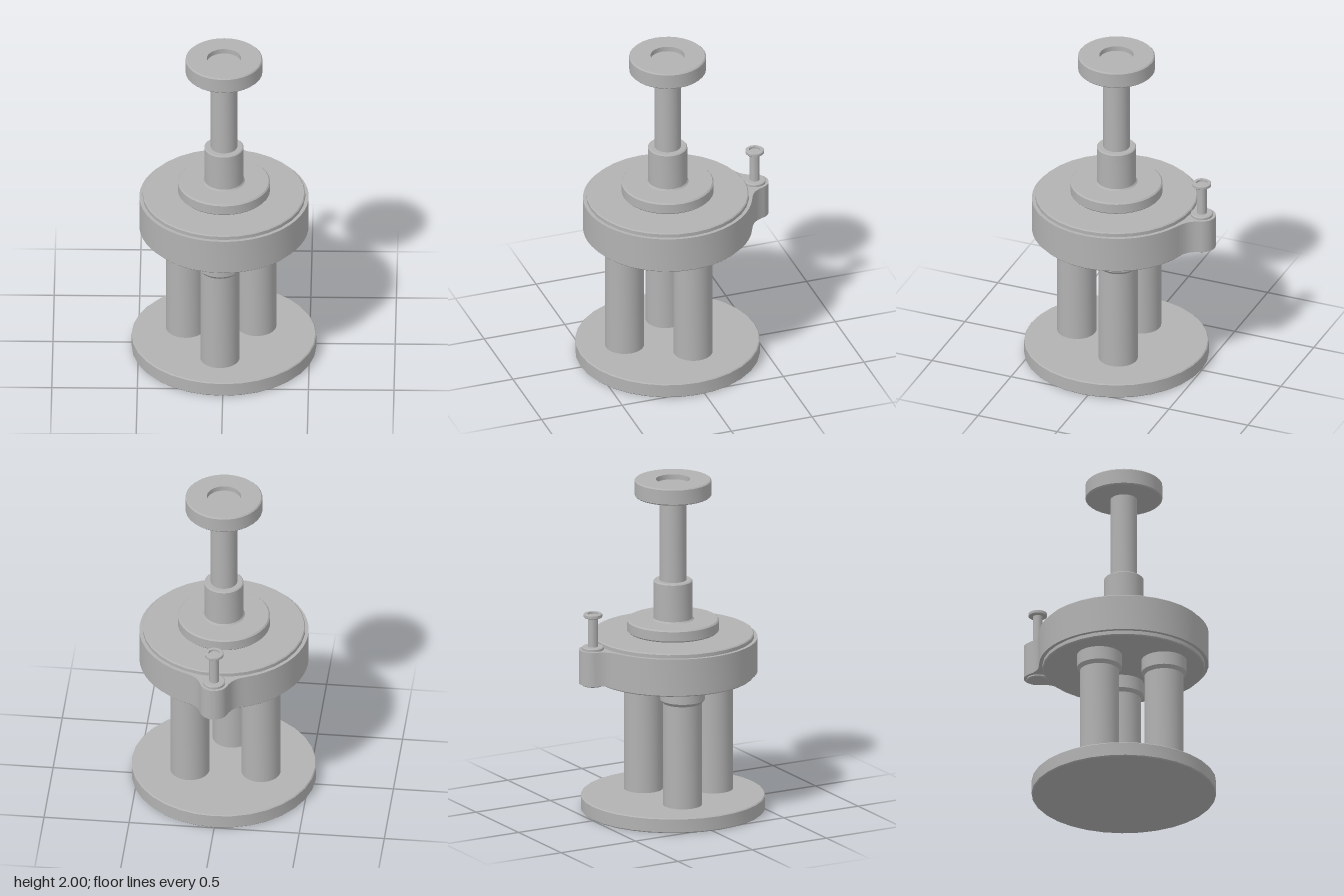
import * as THREE from 'three';
import { toCreasedNormals } from 'three/addons/utils/BufferGeometryUtils.js';

export function createModel() {
  const model = new THREE.Group();
  const metal = new THREE.MeshStandardMaterial({ color: 0xb2b2b2 });
  metal.name = 'grey metal';
  const axisZ = 0.04, pinZ = -0.5;

  const add = (name, geometry, x, z) => {
    const mesh = new THREE.Mesh(toCreasedNormals(geometry, 0.6), metal);
    mesh.name = name;
    mesh.position.set(x, 0, z);
    model.add(mesh);
  };

  // Closed turned part from [radius, height] points, bottom to top
  const turned = (name, profile, x, z, sides = 32) =>
    add(name, new THREE.LatheGeometry(profile.map(([r, y]) => new THREE.Vector2(r, y)), sides), x, z);

  // Disc with small chamfers; an optional recess is sunk into the top
  const disc = (r, y0, y1, c, recessR = 0, depth = 0) => [
    [0, y0], [r - c, y0], [r, y0 + c], [r, y1 - c], [r - c, y1],
    ...(recessR ? [[recessR, y1], [recessR, y1 - depth]] : []),
    [0, y1 - depth],
  ];

  turned('base', disc(0.54, 0, 0.09, 0.006), 0, axisZ);

  // Three legs with wider collars under the housing
  for (const [x, z] of [[-0.02, 0.3], [0.19, -0.05], [-0.225, -0.025]]) {
    turned('leg', [[0, 0.08], [0.115, 0.08], [0.115, 0.71], [0.132, 0.73], [0.132, 0.82], [0, 0.82]], x, z);
  }

  // Housing core, showing as a thin step above and below the outer ring
  turned('housingPlate', disc(0.475, 0.81, 1.07, 0.006), 0, axisZ);

  // Outer ring with an ear blended into its back
  const R = 0.495, a = Math.acos(0.19 / R);
  const sx = 0.19, sy = -axisZ + R * Math.sin(a);
  const outline = new THREE.Shape();
  outline.absarc(0, -axisZ, R, Math.PI - a, Math.PI * 2 + a, false);
  outline.bezierCurveTo(sx - 0.06, sy + 0.025, 0.1, 0.46, 0.078, 0.525);
  outline.absarc(0, 0.5, 0.082, 0.31, Math.PI - 0.31, false);
  outline.bezierCurveTo(-0.1, 0.46, -sx + 0.06, sy + 0.025, -sx, sy);
  const ring = new THREE.ExtrudeGeometry(outline, { depth: 0.205, bevelEnabled: false, curveSegments: 24 });
  ring.rotateX(-Math.PI / 2).translate(0, 0.838, 0);
  add('housingRing', ring, 0, 0);

  // Locking pin standing in the ear
  turned('pinBoss', disc(0.065, 0.825, 1.06, 0.005), 0, pinZ, 24);
  turned('pinShaft', [[0, 1.05], [0.029, 1.05], [0.029, 1.24], [0, 1.24]], 0, pinZ, 20);
  turned('pinHead', disc(0.055, 1.237, 1.26, 0.004, 0.033, 0.012), 0, pinZ, 24);

  // Central spindle, its flange held just clear of the housing
  turned('pivot', [[0, 1.06], [0.03, 1.06], [0.03, 1.09], [0, 1.09]], 0, axisZ, 16);
  turned('flange', disc(0.27, 1.08, 1.153, 0.008), 0, axisZ);
  turned('sleeve', [[0, 1.14], [0.125, 1.15], [0.115, 1.162], [0.115, 1.384], [0.109, 1.39], [0, 1.39]], 0, axisZ);
  turned('shaft', [[0, 1.38], [0.078, 1.38], [0.078, 1.91], [0, 1.91]], 0, axisZ);
  turned('knob', disc(0.225, 1.9, 2, 0.007, 0.1, 0.03), 0, axisZ);

  return model;
}
